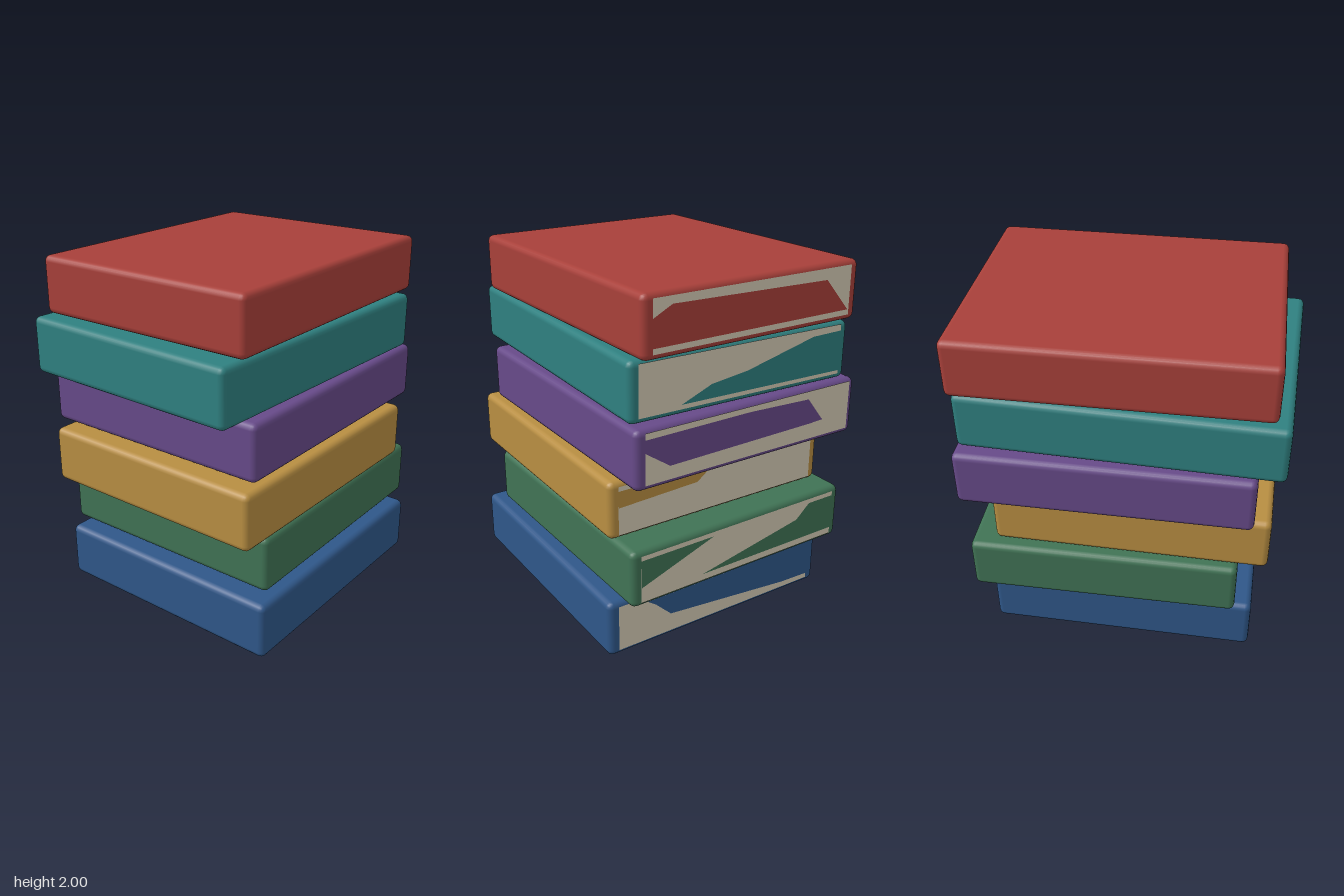
import * as THREE from 'three';
import { RoundedBoxGeometry } from 'three/addons/geometries/RoundedBoxGeometry.js';

const HEIGHT = 0.327, STEP = 0.3346;

const material = (name, color) => {
  const m = new THREE.MeshStandardMaterial({ color });
  m.name = name;
  return m;
};

// Bottom to top. x, z: extents in plan; turn: yaw; pages: [z front, z back, y low, y high]
// bands: cover-coloured areas over the pages, as [z, y] corners
const BOOKS = [
  { name: 'blue', color: 0x2f5789, x: [-0.78, 0.80], z: [-0.70, 0.79], turn: 0.03,
    pages: [0.73, -0.59, 0.03, 0.30],
    bands: [[[0.55, 0.27], [0.5, 0.235], [0.4, 0.14], [-0.4, 0.065], [-0.59, 0.06], [-0.59, 0.28]]] },
  { name: 'green', color: 0x407355, x: [-0.665, 0.895], z: [-0.745, 0.715], turn: 0.02,
    pages: [0.66, -0.66, 0.36, 0.635],
    bands: [[[0.66, 0.45], [0.2, 0.61], [0.66, 0.61]],
      [[0.27, 0.4], [-0.39, 0.53], [-0.48, 0.61], [-0.66, 0.61], [-0.66, 0.4]]] },
  { name: 'gold', color: 0xb88e42, x: [-0.85, 0.755], z: [-0.71, 0.745], turn: 0.036,
    pages: [0.69, -0.6, 0.69, 0.97],
    bands: [[[0.69, 0.85], [0.2, 0.87], [0.1, 0.945], [0.69, 0.945]]] },
  { name: 'purple', color: 0x674a89, x: [-0.74, 0.92], z: [-0.785, 0.70], turn: 0.027,
    pages: [0.645, -0.7, 1.035, 1.315],
    bands: [[[0.645, 1.21], [0.5, 1.11], [-0.42, 1.125], [-0.51, 1.13], [-0.4, 1.27], [0, 1.285], [0.645, 1.28]]] },
  { name: 'teal', color: 0x2f8080, x: [-0.925, 0.905], z: [-0.775, 0.70], turn: 0.058,
    pages: [0.645, -0.62, 1.37, 1.65],
    bands: [[[0.4, 1.395], [0.22, 1.47], [0, 1.5], [-0.43, 1.61], [-0.62, 1.615], [-0.62, 1.39]]] },
  { name: 'red', color: 0xa8403a, x: [-0.80, 0.92], z: [-0.73, 0.665], turn: 0.02,
    pages: [0.61, -0.64, 1.705, 1.975],
    bands: [[[0.61, 1.88], [0.5, 1.935], [-0.47, 1.915], [-0.63, 1.735], [0.61, 1.735]]] },
];

export function createModel() {
  const stack = new THREE.Group();
  stack.name = 'bookStack';
  const paper = material('cream paper', 0xd6ccb6);

  BOOKS.forEach((b, i) => {
    const cover = material(`${b.name} cover`, b.color);
    const spanX = b.x[1] - b.x[0], spanZ = b.z[1] - b.z[0];
    const s = Math.sin(b.turn);
    const width = spanX - spanZ * s, depth = spanZ - spanX * s;
    const cx = (b.x[0] + b.x[1]) / 2, cz = (b.z[0] + b.z[1]) / 2;
    const cy = STEP * i + HEIGHT / 2;

    const book = new THREE.Group();
    book.name = `${b.name}Book`;
    book.position.set(cx, cy, cz);
    book.rotation.y = -b.turn;
    stack.add(book);

    const add = (name, geometry, mat) => {
      const mesh = new THREE.Mesh(geometry, mat);
      mesh.name = name;
      book.add(mesh);
      return mesh;
    };

    // Softly rounded cover
    add('cover', new RoundedBoxGeometry(width, HEIGHT, depth, 2, 0.035), cover);

    // Flat face on the page side, from [z, y] corners
    const sideFace = (name, corners, mat, lift) => {
      const shape = new THREE.Shape(corners.map(([z, y]) =>
        new THREE.Vector2(-(z - cz - width / 2 * s), y - cy)));
      const face = add(name, new THREE.ShapeGeometry(shape).rotateY(Math.PI / 2), mat);
      face.position.x = width / 2 + lift;
    };

    const [z0, z1, y0, y1] = b.pages;
    sideFace('pages', [[z0, y0], [z1, y0], [z1, y1], [z0, y1]], paper, 0.002);
    b.bands.forEach((band) => sideFace('coverBand', band, cover, 0.004));
  });
  return stack;
}
